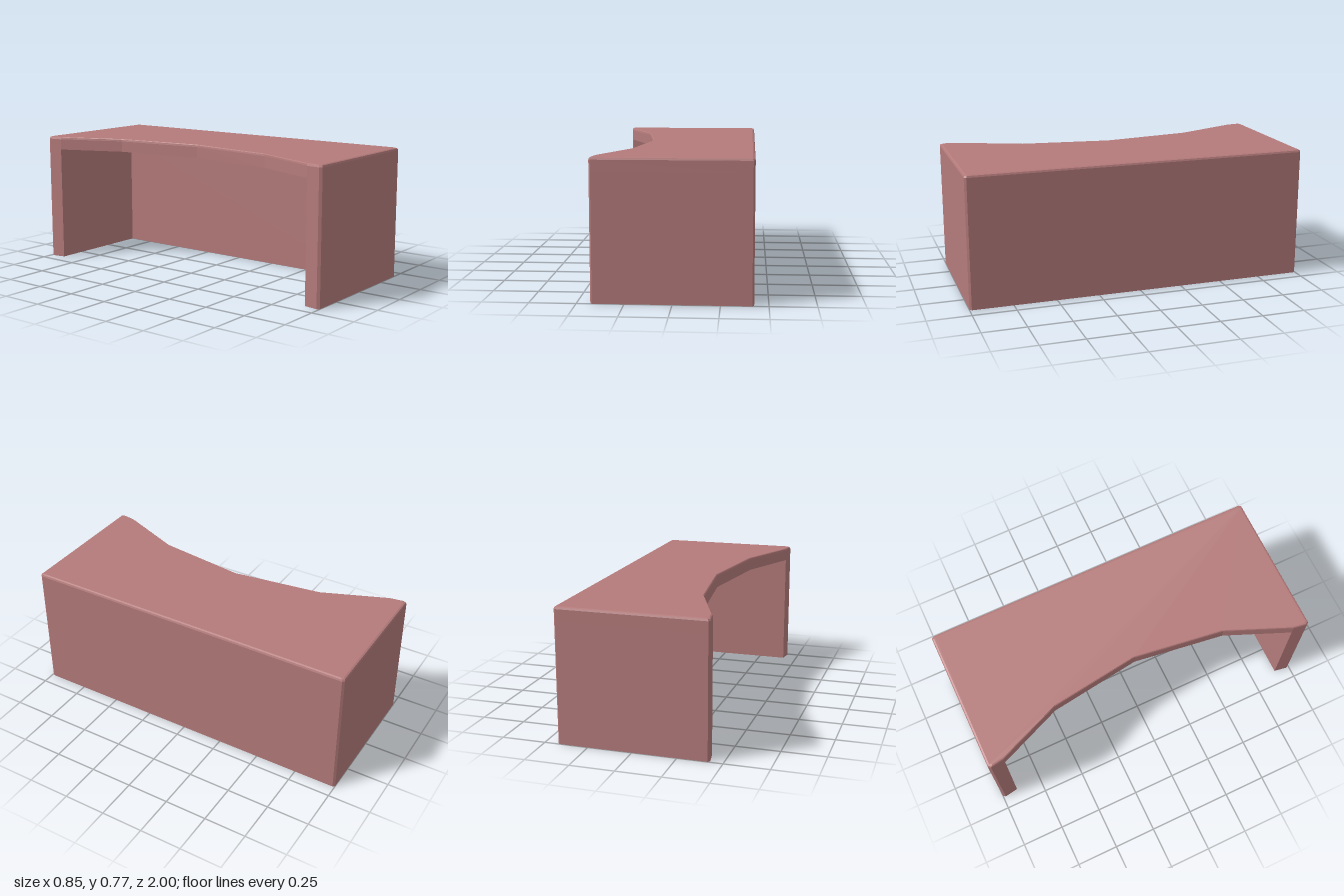
import * as THREE from 'three';

const material = new THREE.MeshStandardMaterial({ color: 0xb47a7a, flatShading: true });

// Plan outline on the open (-x) side, from the middle to the front end: [x, z]
const cut = [[-0.26, 0.53], [-0.415, 0.905], [-0.428, 0.985], [-0.418, 1]];
// Outer corner of the closed (+x) side, slightly chamfered
const corner = [[0.414, 1], [0.424, 0.988]];
const mirror = (pts) => pts.map(([x, z]) => [x, -z]).reverse();

// Extrudes a plan outline upwards through layers of [height, inset]
function stack(name, outline, layers) {
  const shape = new THREE.Shape(outline.map(([x, z]) => new THREE.Vector2(x, -z)));
  const steps = layers.length - 1;
  const geometry = new THREE.ExtrudeGeometry(shape, { depth: steps, steps, bevelEnabled: false });
  const p = geometry.attributes.position;
  for (let i = 0; i < p.count; i++) {
    const [height, inset] = layers[Math.round(p.getZ(i))];
    p.setXYZ(i, p.getX(i) * (1 - inset / 0.428), p.getY(i) * (1 - inset), height);
  }
  geometry.rotateX(-Math.PI / 2);
  geometry.computeVertexNormals();
  const mesh = new THREE.Mesh(geometry, material);
  mesh.name = name;
  return mesh;
}

export function createModel() {
  const desk = new THREE.Group();
  desk.name = 'desk';

  // Worktop with a scooped seating edge and a rounded upper rim
  const topOutline = [[-0.187, 0], ...cut, ...corner, ...mirror(corner), ...mirror(cut)];
  desk.add(stack('worktop', topOutline, [[0.688, 0], [0.752, 0], [0.762, 0.004], [0.766, 0.013]]));

  // Two side walls joined by the thick long panel
  const inner = [[0.237, 0.905], [-0.415, 0.905]];
  const wallOutline = [
    ...inner, ...cut.slice(2), ...corner,
    ...mirror(corner), ...mirror(cut.slice(2)), ...mirror(inner),
  ];
  desk.add(stack('walls', wallOutline, [[0, 0], [0.688, 0]]));

  return desk;
}
